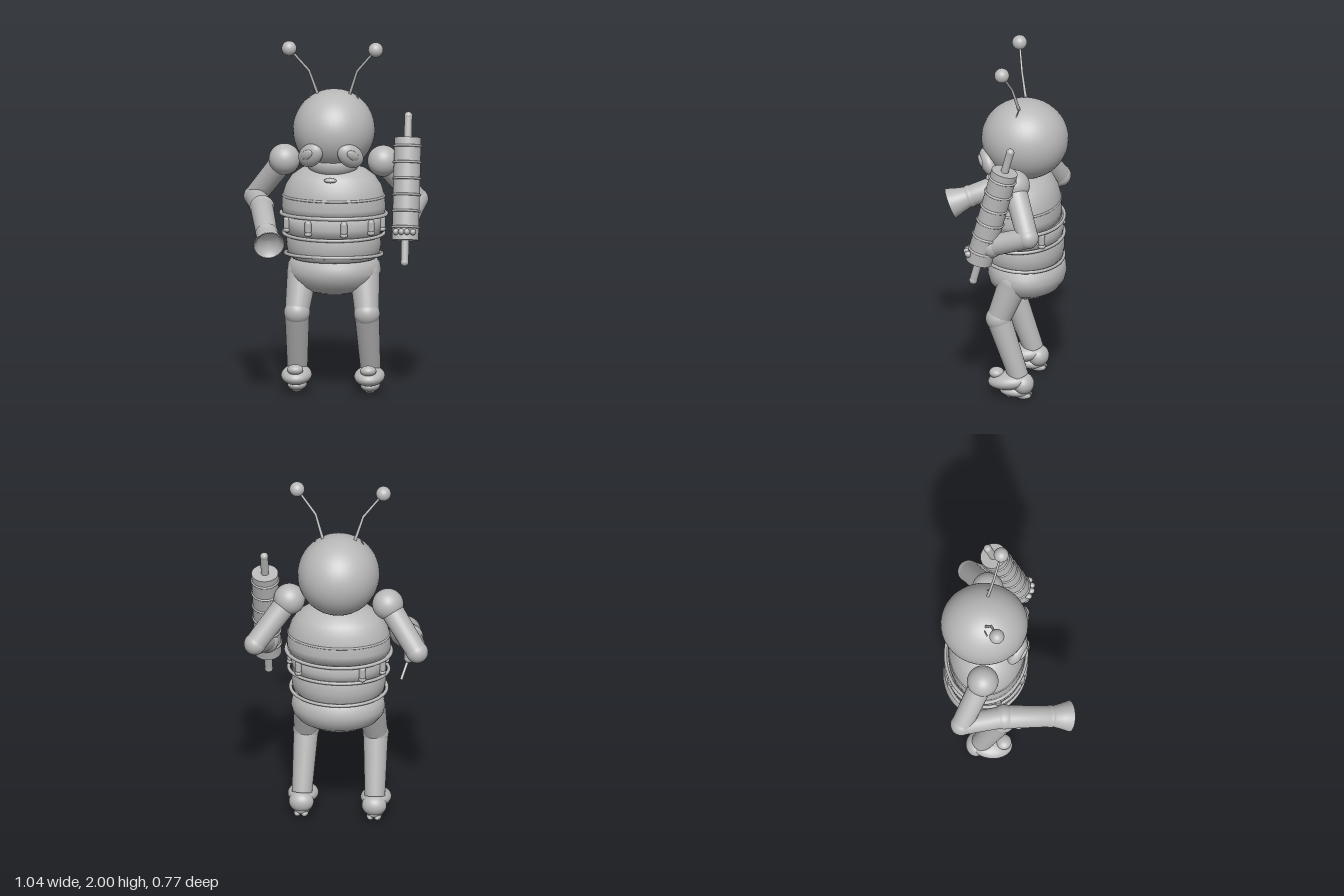
import * as THREE from 'three';

const grey = new THREE.MeshStandardMaterial({ color: 0xb8b8b8 });
grey.name = 'plain grey';
const UP = new THREE.Vector3(0, 1, 0);
const V = (p) => new THREE.Vector3(...p);

function add(parent, name, geometry, pos = [0, 0, 0], scale = [1, 1, 1], rot = [0, 0, 0]) {
  const m = new THREE.Mesh(geometry, grey);
  m.name = name;
  m.position.set(...pos);
  m.scale.set(...scale);
  m.rotation.set(...rot);
  parent.add(m);
  return m;
}

const ball = (parent, name, pos, r, rot) =>
  add(parent, name, new THREE.SphereGeometry(1, 40, 28), pos, Array.isArray(r) ? r : [r, r, r], rot);

// tapered limb between two points
function limb(parent, name, a, b, ra, rb = ra) {
  const A = V(a), B = V(b), d = B.clone().sub(A);
  const m = add(parent, name, new THREE.CylinderGeometry(rb, ra, d.length(), 24));
  m.position.copy(A).add(B).multiplyScalar(0.5);
  m.quaternion.setFromUnitVectors(UP, d.normalize());
  return m;
}

const lathe = (pts) => new THREE.LatheGeometry(pts.map((p) => new THREE.Vector2(...p)), 48);

// thin oval hoop lying flat around the body
function hoop(parent, name, y, z, rx, rz, tube, tilt = 0) {
  const g = new THREE.TorusGeometry(1, tube / rx, 10, 56);
  g.rotateX(Math.PI / 2);
  return add(parent, name, g, [0, y, z], [rx, rx, rz], [tilt, 0, 0]);
}

function buildHead(root) {
  const head = new THREE.Group();
  head.name = 'head';
  root.add(head);
  ball(head, 'skull', [0, 1.487, -0.14], [0.23, 0.229, 0.245]);
  ball(head, 'jaw', [0, 1.31, -0.085], [0.145, 0.09, 0.125]);
  ball(head, 'mouth', [0, 1.235, 0.064], [0.036, 0.014, 0.017]);
  for (const s of [-1, 1]) {
    // bulging eye with a pupil
    const eye = new THREE.Group();
    eye.name = 'eye';
    eye.position.set(s * 0.112, 1.375, 0.05);
    eye.rotation.set(0.2, s * 0.45, 0, 'YXZ');
    head.add(eye);
    ball(eye, 'eyeball', [0, 0, 0], [0.085, 0.062, 0.043], [0, 0, -s * 0.65]);
    ball(eye, 'pupil', [0, 0.016, 0.036], [0.04, 0.025, 0.014], [0, 0, -s * 0.65]);
    // bent antenna
    const base = [s * 0.083, 1.67, -0.13], bend = [s * 0.134, 1.828, -0.095], tip = [s * 0.243, 1.96, -0.058];
    limb(head, 'antennaBase', base, bend, 0.009, 0.007);
    limb(head, 'antennaEnd', bend, tip, 0.007, 0.006);
    ball(head, 'antennaJoint', bend, 0.007);
    ball(head, 'antennaBall', tip, 0.042);
    limb(head, 'hair', [s * 0.14, 1.66, -0.115], [s * 0.122, 1.71, -0.132], 0.003);
  }
}

function buildBody(root) {
  const body = new THREE.Group();
  body.name = 'body';
  root.add(body);
  // chest dome, belt core, waist and rounded bottom
  const section = (name, z, rz, pts) => add(body, name, lathe(pts), [0, 0, z], [1, 1, rz]);
  section('chest', -0.125, 0.75, [[0, 1.0], [0.288, 1.01], [0.291, 1.06], [0.287, 1.12], [0.268, 1.18],
    [0.235, 1.23], [0.18, 1.27], [0.1, 1.295], [0, 1.3]]);
  section('beltCore', -0.13, 0.84, [[0, 0.89], [0.262, 0.9], [0.266, 0.95], [0.268, 1.01], [0, 1.02]]);
  section('waist', -0.13, 0.87, [[0, 0.76], [0.235, 0.765], [0.257, 0.79], [0.265, 0.84], [0.262, 0.89], [0.25, 0.91], [0, 0.91]]);
  section('bottom', -0.153, 0.83, [[0, 0.55], [0.08, 0.555], [0.16, 0.577], [0.22, 0.61], [0.253, 0.65],
    [0.264, 0.69], [0.257, 0.73], [0.235, 0.765], [0.18, 0.79], [0, 0.8]]);
  hoop(body, 'chestHoop', 1.118, -0.125, 0.284, 0.214, 0.007);
  hoop(body, 'beltTopHoop', 1.015, -0.13, 0.295, 0.228, 0.011, -0.03);
  hoop(body, 'beltBottomHoop', 0.905, -0.13, 0.281, 0.228, 0.01, 0.03);
  hoop(body, 'waistHoop', 0.787, -0.13, 0.27, 0.226, 0.01, -0.06);
  // little canisters around the belt
  for (const deg of [-70, -27, 17, 55, 90, 130, 215, 250]) {
    const a = THREE.MathUtils.degToRad(deg);
    const x = 0.272 * Math.sin(a), z = -0.13 + 0.23 * Math.cos(a);
    add(body, 'canister', new THREE.CapsuleGeometry(0.019, 0.04, 6, 16), [x, 0.968, z]);
    ball(body, 'canisterEnd', [x, 0.93, z], [0.021, 0.016, 0.021]);
  }
}

function buildArm(root, name, shoulder, elbow, hand) {
  const arm = new THREE.Group();
  arm.name = name;
  root.add(arm);
  ball(arm, 'shoulder', shoulder, 0.088);
  limb(arm, 'upperArm', shoulder, elbow, 0.066, 0.06);
  ball(arm, 'elbow', elbow, 0.062);
  limb(arm, 'forearm', elbow, hand, 0.06, 0.062);
  ball(arm, 'hand', hand, 0.07);
  return arm;
}

function buildBlaster(root) {
  const gun = new THREE.Group();
  gun.name = 'blaster';
  root.add(gun);
  const back = V([-0.39, 1.06, 0.0]), front = V([-0.315, 0.917, 0.35]);
  const d = front.clone().sub(back), L = d.length();
  // barrel with a flared, hollow muzzle
  const barrel = add(gun, 'barrel', lathe([[0, 0], [0.066, 0], [0.06, L - 0.13], [0.064, L - 0.125],
    [0.064, L - 0.11], [0.06, L - 0.1], [0.072, L - 0.05], [0.088, L], [0.078, L], [0.055, L - 0.04], [0, L - 0.045]]));
  barrel.position.copy(back);
  barrel.quaternion.setFromUnitVectors(UP, d.normalize());
  limb(gun, 'grip', [-0.375, 1.0, 0.06], [-0.37, 0.89, 0.07], 0.03, 0.026);
  ball(gun, 'gripEnd', [-0.37, 0.89, 0.07], 0.028);
  limb(gun, 'lever', [-0.37, 0.89, 0.09], [-0.335, 0.785, 0.0], 0.008);
}

function buildStaff(root) {
  const staff = new THREE.Group();
  staff.name = 'ribbedStaff';
  staff.position.set(0.418, 1.177, -0.037);
  staff.rotation.x = -0.26;
  root.add(staff);
  add(staff, 'staffBody', new THREE.CylinderGeometry(0.075, 0.075, 0.575, 32));
  add(staff, 'staffCore', new THREE.CylinderGeometry(0.022, 0.022, 0.81, 20));
  for (const s of [-1, 1]) ball(staff, 'staffTip', [0, s * 0.41, 0], 0.023);
  for (let i = 0; i < 6; i++) {
    add(staff, 'rib', new THREE.TorusGeometry(0.075, 0.007, 8, 36), [0, 0.24 - i * 0.091, 0], [1, 1, 1], [Math.PI / 2, 0, 0]);
  }
  // fingertips wrapped round the front
  for (let i = 0; i < 4; i++) {
    const x = -0.048 + i * 0.032;
    ball(staff, 'finger', [x, -0.245, Math.sqrt(0.0064 - x * x)], [0.017, 0.018, 0.02]);
  }
}

function buildLeg(root, s) {
  const leg = new THREE.Group();
  leg.name = s > 0 ? 'leftLeg' : 'rightLeg';
  root.add(leg);
  const hip = [s * 0.175, 0.68, -0.11], knee = [s * 0.196, 0.465, -0.03], ankle = [s * 0.205, 0.13, -0.145];
  ball(leg, 'hip', hip, 0.085);
  limb(leg, 'thigh', hip, knee, 0.085, 0.068);
  ball(leg, 'knee', knee, 0.073);
  limb(leg, 'shin', knee, ankle, 0.07, 0.057);
  // lumpy shoe: upper, toe cap, heel and sole pads
  const x = s * 0.205;
  ball(leg, 'shoe', [x, 0.1, -0.09], [0.086, 0.05, 0.118], [0.12, 0, 0]);
  ball(leg, 'toeCap', [x, 0.14, -0.02], [0.045, 0.03, 0.042]);
  ball(leg, 'heel', [x, 0.085, -0.175], [0.07, 0.06, 0.058]);
  ball(leg, 'sole', [x, 0.04, -0.13], [0.055, 0.034, 0.09]);
  for (const k of [-1, 1]) ball(leg, 'solePad', [x + k * 0.02, 0.022, -0.175], [0.022, 0.022, 0.045]);
  ball(leg, 'frontPad', [x, 0.02, -0.1], [0.03, 0.02, 0.035]);
}

export function createModel() {
  const root = new THREE.Group();
  root.name = 'beeFigure';
  buildHead(root);
  buildBody(root);
  buildArm(root, 'rightArm', [-0.277, 1.315, -0.135], [-0.455, 1.08, -0.245], [-0.39, 1.06, -0.01]);
  buildArm(root, 'leftArm', [0.277, 1.315, -0.135], [0.457, 1.08, -0.25], [0.42, 1.0, -0.03]);
  buildBlaster(root);
  buildStaff(root);
  for (const s of [-1, 1]) buildLeg(root, s);
  return root;
}
